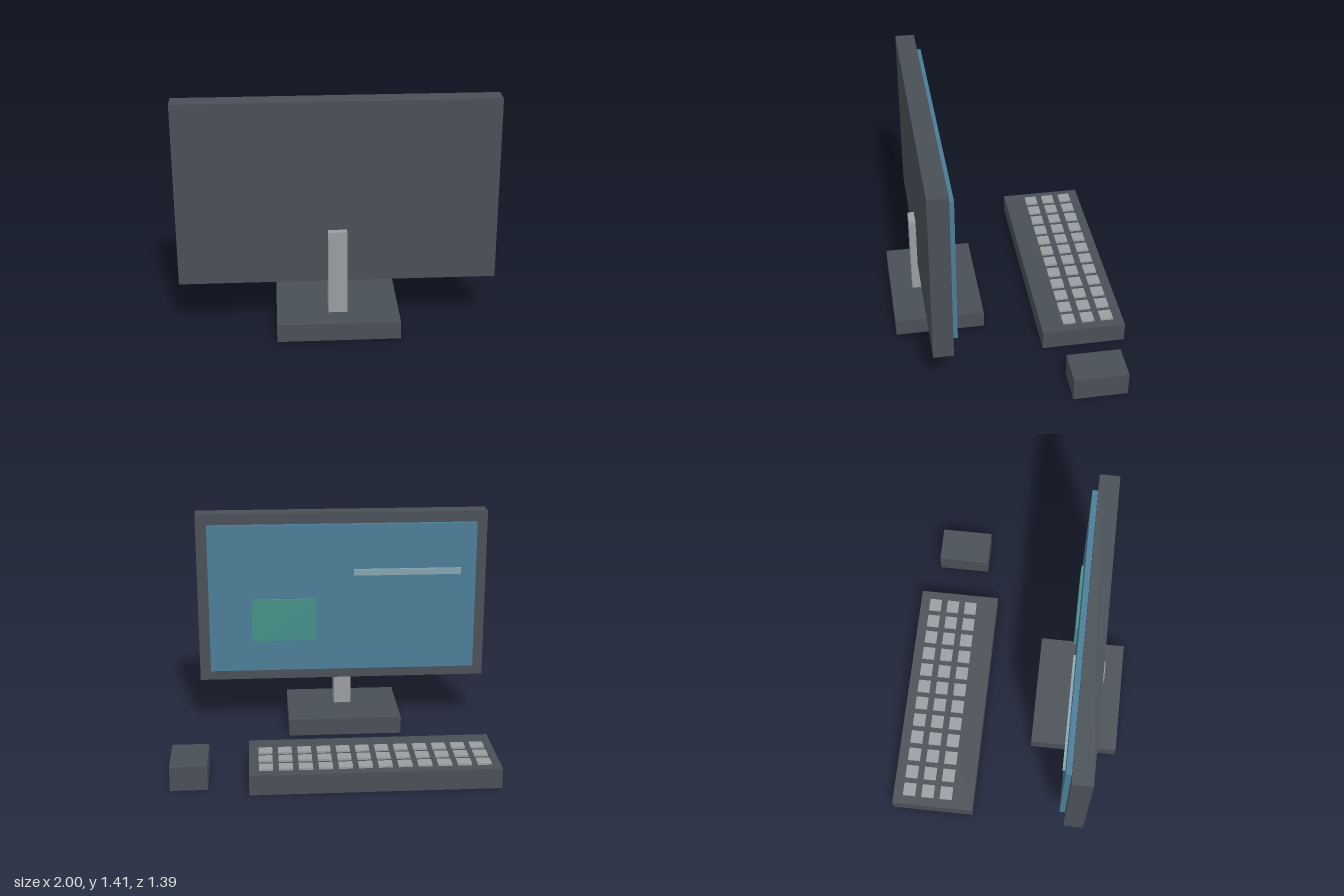
import * as THREE from 'three';

const material = (name, color) => {
  const m = new THREE.MeshStandardMaterial({ color });
  m.name = name;
  return m;
};

export function createModel() {
  const model = new THREE.Group();
  model.name = 'desktopComputer';

  const charcoal = material('charcoal casing', 0x484f56);
  const grey = material('light grey', 0x9a9da1);
  const blue = material('screen blue', 0x4a7c96);
  const teal = material('window teal', 0x459088);
  const paleBlue = material('pale blue', 0x86a5b0);

  const group = (name) => {
    const g = new THREE.Group();
    g.name = name;
    model.add(g);
    return g;
  };

  // Box given by its extents along each axis
  const box = (parent, name, mat, [x0, x1], [y0, y1], [z0, z1]) => {
    const mesh = new THREE.Mesh(new THREE.BoxGeometry(x1 - x0, y1 - y0, z1 - z0), mat);
    mesh.position.set((x0 + x1) / 2, (y0 + y1) / 2, (z0 + z1) / 2);
    mesh.name = name;
    parent.add(mesh);
  };

  // Monitor: the screen looks towards the keyboard, at -z
  const monitor = group('monitor');
  box(monitor, 'monitorCasing', charcoal, [-1, 0.853], [0.31, 1.41], [0.4, 0.52]);
  box(monitor, 'screen', blue, [-0.93, 0.783], [0.38, 1.34], [0.367, 0.4]);
  box(monitor, 'screenWindow', teal, [0.095, 0.51], [0.585, 0.86], [0.352, 0.367]);
  box(monitor, 'screenBar', paleBlue, [-0.83, -0.145], [1.01, 1.05], [0.352, 0.367]);

  // Stand
  const stand = group('stand');
  box(stand, 'standPost', grey, [-0.13, -0.02], [0.12, 0.635], [0.425, 0.56]);
  box(stand, 'standBase', charcoal, [-0.435, 0.285], [0.008, 0.117], [0.145, 0.695]);

  // Keyboard with three rows of twelve keys
  const keyboard = group('keyboard');
  box(keyboard, 'keyboardBody', charcoal, [-0.93, 0.54], [0, 0.122], [-0.695, -0.182]);
  for (let row = 0; row < 3; row++) {
    for (let col = 0; col < 12; col++) {
      const x = -0.834 + col * 0.116;
      const z = -0.594 + row * 0.118;
      box(keyboard, 'key', grey, [x - 0.041, x + 0.041], [0.12, 0.134], [z - 0.039, z + 0.039]);
    }
  }

  // Mouse
  box(group('mouse'), 'mouseBody', charcoal, [0.78, 1], [0, 0.148], [-0.605, -0.277]);

  return model;
}
